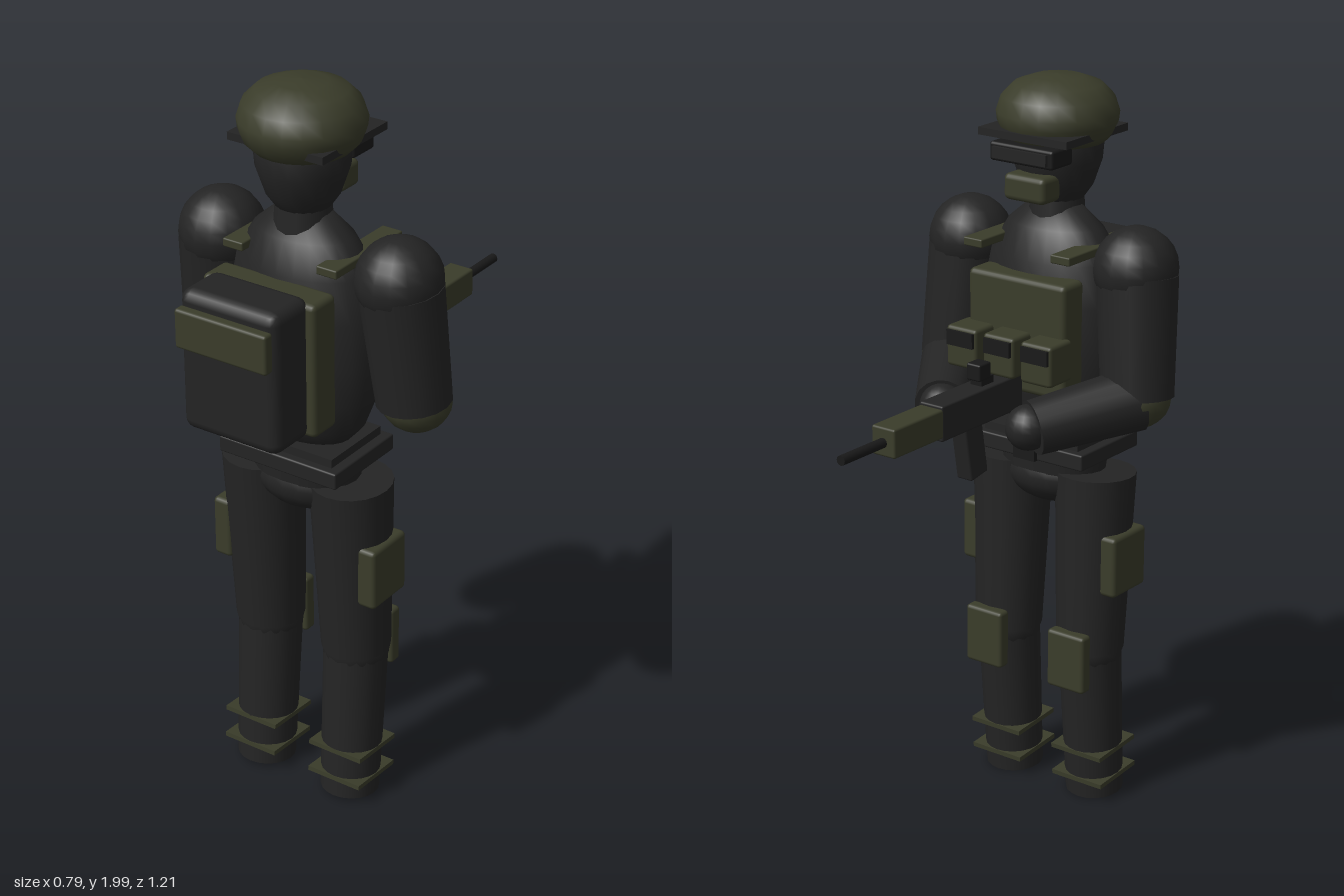
import * as THREE from 'three';
import { RoundedBoxGeometry } from 'three/addons/geometries/RoundedBoxGeometry.js';

const mat = (name, color) => {
  const m = new THREE.MeshStandardMaterial({ color });
  m.name = name;
  return m;
};

export function createModel() {
  const model = new THREE.Group();
  model.name = 'soldier';
  const cloth = mat('dark cloth', 0x242424);
  const olive = mat('olive gear', 0x3a3c2a);
  const black = mat('black', 0x191919);

  const add = (name, geo, material, pos = [0, 0, 0]) => {
    const m = new THREE.Mesh(geo, material);
    m.name = name;
    m.position.set(...pos);
    model.add(m);
    return m;
  };
  // Box given by its extents on each axis; r rounds the edges
  const box = (name, x, y, z, material, r = 0) => {
    const s = [x, y, z].map(([a, b]) => b - a);
    const c = [x, y, z].map(([a, b]) => (a + b) / 2);
    return add(name, r ? new RoundedBoxGeometry(...s, 2, r) : new THREE.BoxGeometry(...s), material, c);
  };
  const ball = (name, pos, size, material, segs = 16) => {
    const m = add(name, new THREE.SphereGeometry(1, segs, 12), material, pos);
    m.scale.set(...size);
    return m;
  };
  // Tapered limb running from a (upper end) to b (lower end)
  const limb = (name, a, b, ra, rb, material, segs = 16) => {
    const A = new THREE.Vector3(...a), B = new THREE.Vector3(...b);
    const dir = A.clone().sub(B);
    const m = add(name, new THREE.CylinderGeometry(ra, rb, dir.length(), segs), material);
    m.position.copy(A).add(B).multiplyScalar(0.5);
    m.quaternion.setFromUnitVectors(new THREE.Vector3(0, 1, 0), dir.normalize());
    return m;
  };

  // Torso, flattened from front to back
  const profile = [[0, 1.04], [0.12, 1.05], [0.165, 1.1], [0.2, 1.19], [0.215, 1.3], [0.213, 1.42],
    [0.19, 1.53], [0.14, 1.61], [0.075, 1.665], [0, 1.67]].map(p => new THREE.Vector2(...p));
  add('torso', new THREE.LatheGeometry(profile, 24), cloth, [0, 0, 0.255]).scale.z = 0.64;
  limb('neck', [0, 1.72, 0.26], [0, 1.6, 0.26], 0.068, 0.078, cloth);

  // Head, face gear and helmet
  const skull = [[0, 1.655], [0.06, 1.665], [0.095, 1.715], [0.117, 1.78], [0.122, 1.84], [0.1, 1.9], [0, 1.93]];
  add('head', new THREE.LatheGeometry(skull.map(p => new THREE.Vector2(...p)), 20), cloth, [0, 0, 0.26]);
  const dome = [[0, 1.825], [0.125, 1.83], [0.145, 1.85], [0.157, 1.88], [0.16, 1.905], [0.147, 1.945],
    [0.115, 1.977], [0.065, 1.995], [0, 2]];
  add('helmet', new THREE.LatheGeometry(dome.map(p => new THREE.Vector2(...p)), 20), olive, [0, 0, 0.26]);
  box('helmetBand', [-0.14, 0.14], [1.85, 1.87], [0.105, 0.375], cloth);
  box('goggles', [-0.1, 0.1], [1.79, 1.84], [0.1, 0.19], black, 0.008);
  box('goggleLens', [-0.085, 0.085], [1.8, 1.83], [0.091, 0.1], cloth);
  box('mouthGuard', [-0.065, 0.065], [1.69, 1.76], [0.11, 0.19], olive, 0.015);

  // Vest, chest pouches and backpack
  box('chestPlate', [-0.155, 0.155], [1.19, 1.5], [0.08, 0.17], olive, 0.015);
  box('backPlate', [-0.168, 0.168], [1.16, 1.52], [0.36, 0.455], olive, 0.015);
  for (const x of [-0.12, 0, 0.12]) {
    box('chestPouch', [x - 0.049, x + 0.049], [1.25, 1.36], [0.005, 0.1], olive, 0.01);
    box('pouchFlap', [x - 0.042, x + 0.042], [1.31, 1.35], [-0.003, 0.006], black);
  }
  box('backpack', [-0.145, 0.145], [1.155, 1.535], [0.43, 0.58], cloth, 0.03);
  box('backpackFlap', [-0.136, 0.136], [1.39, 1.495], [0.575, 0.607], olive, 0.008);

  // Belt and hips
  box('beltUpper', [-0.153, 0.153], [1.03, 1.058], [0.15, 0.365], cloth);
  box('belt', [-0.18, 0.18], [0.99, 1.035], [0.13, 0.388], cloth, 0.005);
  box('buckle', [-0.035, 0.035], [0.99, 1.035], [0.118, 0.132], black);
  ball('hips', [0, 0.93, 0.257], [0.15, 0.09, 0.11], cloth, 20);
  limb('waist', [0, 1, 0.257], [0, 0.93, 0.257], 0.16, 0.15, cloth, 20).scale.z = 0.7;

  for (const s of [-1, 1]) {
    const pair = (a, b) => [a * s, b * s].sort((p, q) => p - q);

    // Leg
    limb('thigh', [0.137 * s, 0.95, 0.257], [0.138 * s, 0.45, 0.238], 0.109, 0.092, cloth, 20);
    ball('knee', [0.138 * s, 0.45, 0.238], [0.09, 0.09, 0.09], cloth);
    limb('shin', [0.138 * s, 0.45, 0.238], [0.138 * s, 0.012, 0.268], 0.086, 0.079, cloth, 20);
    box('kneePad', pair(0.078, 0.198), [0.355, 0.52], [0.12, 0.16], olive, 0.01);
    box('thighPouch', pair(0.2, 0.255), [0.63, 0.8], [0.18, 0.327], olive, 0.012);
    for (const y of [0.15, 0.067]) {
      const z = 0.268 - y * 0.068;
      const strap = add('ankleStrap', new THREE.BoxGeometry(0.164, 0.013, 0.164), olive, [0.138 * s, y, z]);
      strap.rotation.x = -0.068;
    }

    // Arm, bent forward to the rifle
    ball('shoulder', [0.267 * s, 1.535, 0.238], [0.111, 0.111, 0.114], cloth);
    limb('upperArm', [0.272 * s, 1.52, 0.238], [0.296 * s, 1.205, 0.212], 0.108, 0.097, cloth);
    ball('elbowPad', [0.297 * s, 1.205, 0.205], [0.092, 0.083, 0.09], olive);
    limb('forearm', [0.298 * s, 1.2, 0.2], [0.147 * s, 1.155, -0.04], 0.086, 0.073, cloth);
    ball('hand', [0.14 * s, 1.158, -0.05], [0.06, 0.06, 0.06], cloth);
    box('shoulderStrap', pair(0.11, 0.17), [1.557, 1.58], [0.08, 0.365], olive, 0.004);
  }

  // Rifle
  const gx = 0.012;
  box('receiver', [gx - 0.037, gx + 0.037], [1.15, 1.245], [-0.255, 0.08], cloth, 0.005);
  box('handguard', [gx - 0.037, gx + 0.037], [1.16, 1.237], [-0.445, -0.25], olive, 0.006);
  limb('barrel', [gx, 1.197, -0.43], [gx, 1.197, -0.605], 0.013, 0.013, black, 12);
  box('sightMount', [gx - 0.018, gx + 0.018], [1.24, 1.265], [-0.07, -0.02], black);
  box('sight', [gx - 0.022, gx + 0.022], [1.26, 1.305], [-0.083, -0.035], black, 0.005);
  const magazine = add('magazine', new RoundedBoxGeometry(0.05, 0.17, 0.07, 2, 0.006), cloth, [gx, 1.09, -0.1]);
  magazine.rotation.x = -0.17;
  return model;
}
